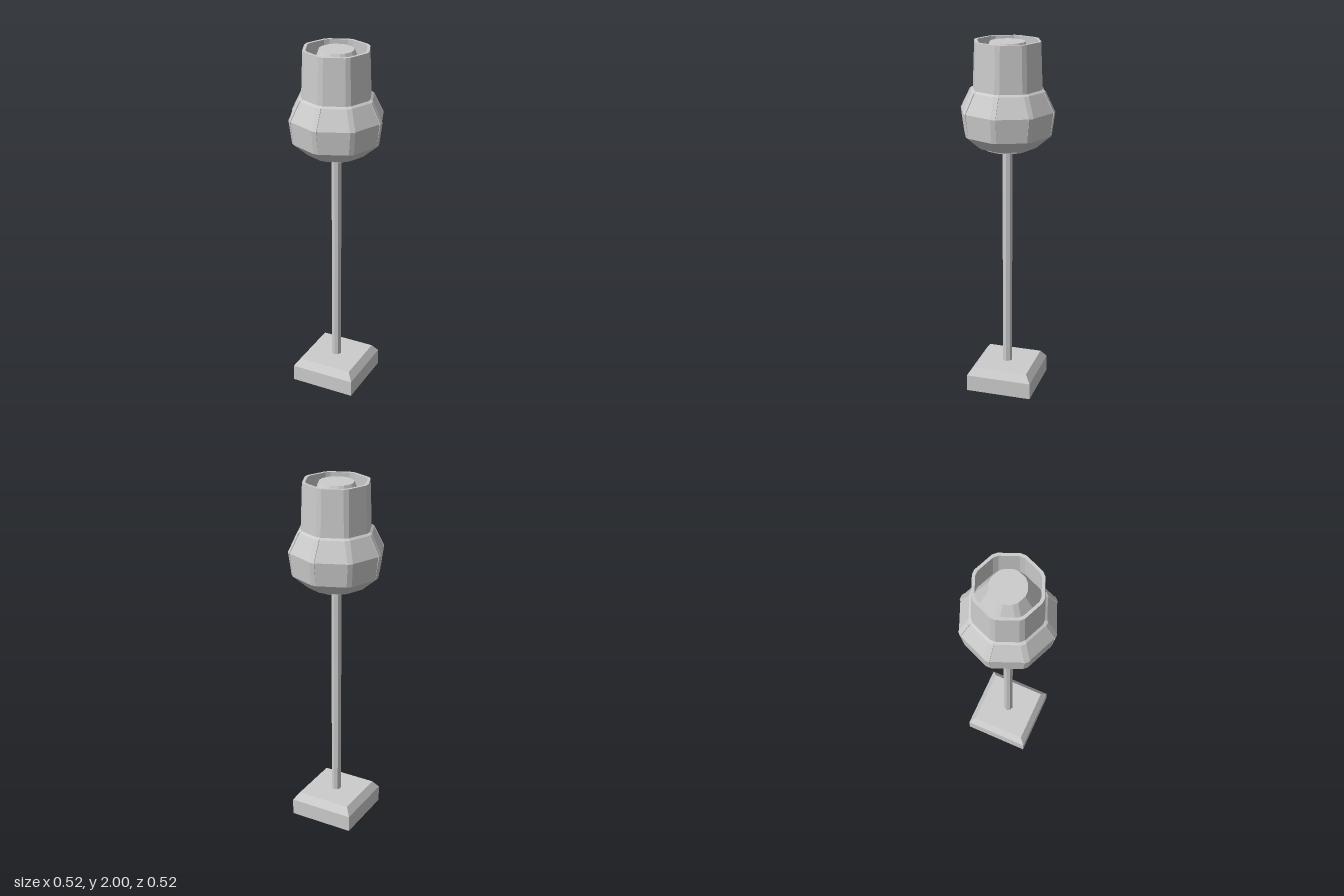
import * as THREE from 'three';

const material = new THREE.MeshStandardMaterial({ color: 0xcccccc, flatShading: true, side: THREE.DoubleSide });

function addPart(group, name, geometry, y = 0) {
  const mesh = new THREE.Mesh(geometry, material);
  mesh.name = name;
  mesh.position.y = y;
  group.add(mesh);
  return mesh;
}

// Joins equal-sized rings of points into faceted walls.
function loft(rings, closed = true) {
  const n = rings[0].length, index = [];
  for (let j = 0; j < rings.length - 1; j++) {
    for (let i = 0; i < (closed ? n : n - 1); i++) {
      const a = j * n + i, b = j * n + (i + 1) % n;
      index.push(a, a + n, b, b, a + n, b + n);
    }
  }
  const geometry = new THREE.BufferGeometry().setFromPoints(rings.flat());
  geometry.setIndex(index);
  const flat = geometry.toNonIndexed();
  flat.computeVertexNormals();
  return flat;
}

// An octagonal ring whose corners are cut by narrow flats of constant width.
function octagon(r, y, half = 0.014) {
  const points = [];
  const h = Math.min(half, r * 0.2);
  for (let k = 0; k < 8; k++) {
    const a = k * Math.PI / 4, c = Math.cos(a), s = Math.sin(a);
    for (const t of [-h, h]) points.push(new THREE.Vector3(r * c - t * s, y, r * s + t * c));
  }
  return points;
}

const octShell = profile => loft(profile.map(([r, y]) => octagon(r, y)));

// Square frustum given by half widths.
function squareBlock(top, bottom, height) {
  const g = new THREE.CylinderGeometry(top * Math.SQRT2, bottom * Math.SQRT2, height, 4);
  return g.rotateY(Math.PI / 4).translate(0, height / 2, 0);
}

export function createModel() {
  const lamp = new THREE.Group();
  lamp.name = 'lamp';

  // Square base with a bevelled top and a shallow foot
  const base = new THREE.Group();
  base.name = 'base';
  addPart(base, 'foot', squareBlock(0.14, 0.14, 0.01));
  addPart(base, 'baseBlock', squareBlock(0.187, 0.187, 0.094), 0.006);
  addPart(base, 'baseBevel', squareBlock(0.157, 0.187, 0.043), 0.1);
  lamp.add(base);

  // Pole
  addPart(lamp, 'pole', new THREE.CylinderGeometry(0.028, 0.028, 1.4, 8), 0.84);

  // Shade, listed from the inner bottom collar around the outside to the inner rim
  addPart(lamp, 'shade', octShell([
    [0.1, 1.5], [0.105, 1.415], [0.126, 1.415], [0.13, 1.432], [0.165, 1.432],
    [0.243, 1.5], [0.257, 1.63], [0.203, 1.737], [0.19, 1.747], [0.18, 2],
    [0.163, 2], [0.174, 1.75], [0.236, 1.63], [0.225, 1.51], [0.1, 1.5],
  ]));

  // Raised ribs along the shade corners
  const ribPath = [[0.239, 1.5], [0.243, 1.5], [0.261, 1.63], [0.207, 1.739], [0.19, 1.747]];
  const ribs = new THREE.Group();
  ribs.name = 'ribs';
  const ribRings = ribPath.map(([r, y]) => [
    new THREE.Vector3(r - 0.012, y, -0.014), new THREE.Vector3(r, y, -0.014),
    new THREE.Vector3(r, y, 0.014), new THREE.Vector3(r - 0.012, y, 0.014),
  ]);
  const ribGeometry = loft(ribRings, false);
  for (let k = 0; k < 8; k++) addPart(ribs, 'rib', ribGeometry).rotation.y = k * Math.PI / 4;
  lamp.add(ribs);

  // Inner lantern core with a flat top
  addPart(lamp, 'core', octShell([
    [0.001, 1.52], [0.1, 1.52], [0.19, 1.64], [0.172, 1.8], [0.093, 1.995], [0.001, 1.995],
  ]));

  return lamp;
}
